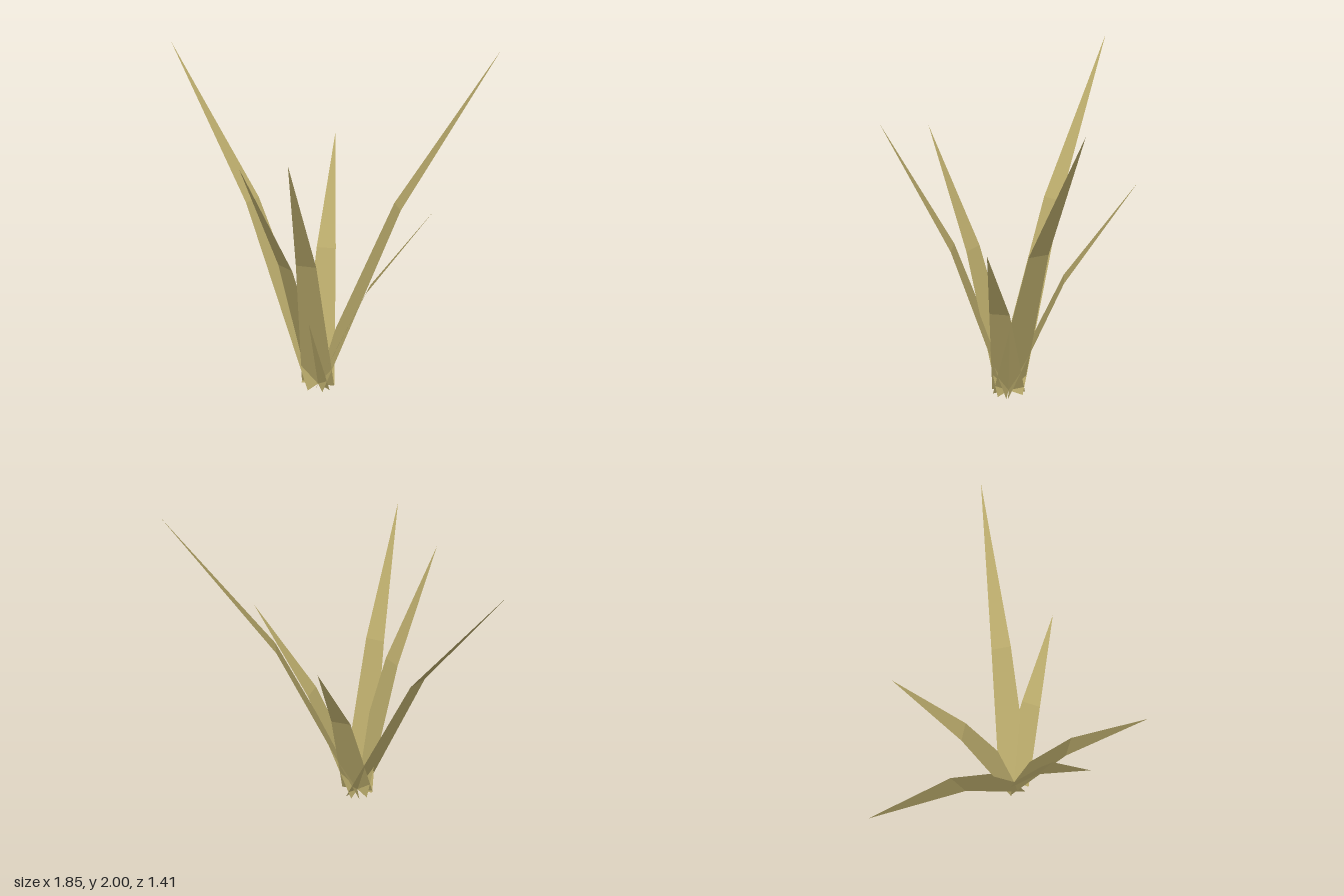
import * as THREE from 'three';

const dryGrass = new THREE.MeshStandardMaterial({
  color: 0xb8a96a, side: THREE.DoubleSide, flatShading: true,
});
dryGrass.name = 'dryGrass';

// Common root of the tuft, and how every blade bends and narrows
const ROOT = new THREE.Vector3(0.185, 0, 0.02);
const BASE_HALF = 0.1, MID_HALF = 0.058;
const MID_OUT = 0.448, MID_UP = 0.557;

// A flat blade: a tapering quad up to the bend, then a triangle to the tip
function bladeGeometry(tip) {
  const reach = tip.clone().sub(ROOT);
  const side = new THREE.Vector3(reach.z, 0, -reach.x).normalize();
  const bend = ROOT.clone().add(
    new THREE.Vector3(reach.x * MID_OUT, reach.y * MID_UP, reach.z * MID_OUT));
  const points = [
    ROOT.clone().addScaledVector(side, -BASE_HALF),
    ROOT.clone().addScaledVector(side, BASE_HALF),
    bend.clone().addScaledVector(side, -MID_HALF),
    bend.clone().addScaledVector(side, MID_HALF),
    tip,
  ];
  const indexed = new THREE.BufferGeometry().setFromPoints(points);
  indexed.setIndex([0, 1, 3, 0, 3, 2, 2, 3, 4]);
  const geometry = indexed.toNonIndexed();
  geometry.computeVertexNormals();
  return geometry;
}

export function createModel() {
  const tuft = new THREE.Group();
  tuft.name = 'grassTuft';
  const tips = {
    rightBlade: [-0.925, 1.925, -0.145],
    backLeftBlade: [0.925, 2.0, -0.71],
    leftBlade: [0.82, 1.22, -0.145],
    frontLeftBlade: [0.383, 1.68, 0.705],
    frontRightBlade: [0.015, 1.555, 0.59],
    backBlade: [-0.082, 1.36, -0.65],
  };
  for (const [name, tip] of Object.entries(tips)) {
    const blade = new THREE.Mesh(bladeGeometry(new THREE.Vector3(...tip)), dryGrass);
    blade.name = name;
    tuft.add(blade);
  }
  return tuft;
}
